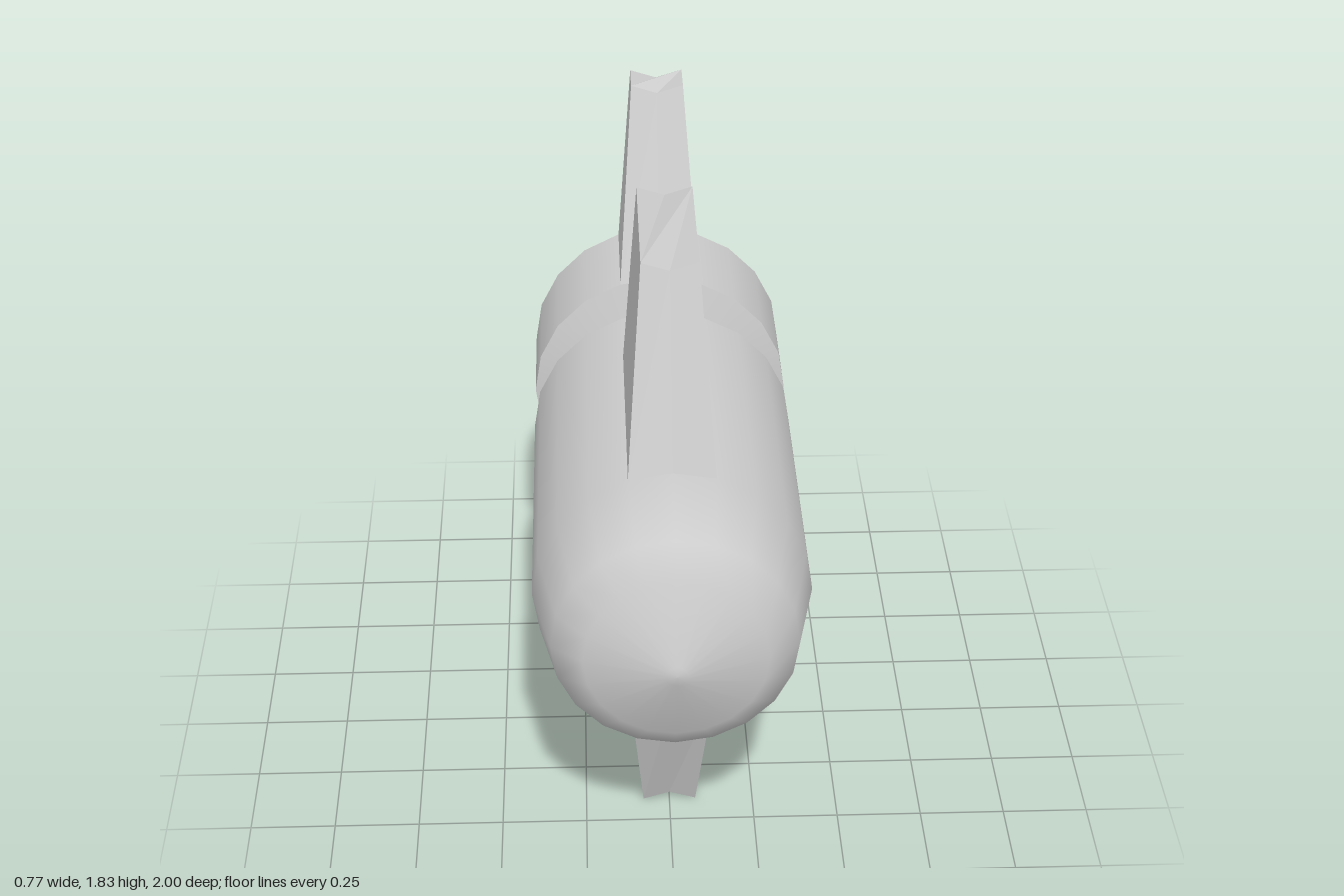
import * as THREE from 'three';

const AXIS = 0.915, R = 0.387, SIDES = 20;
const grey = new THREE.MeshStandardMaterial({ color: 0xcccccc, side: THREE.DoubleSide });

// Smooth turned section along z; points are [radius, z] from back to front
function turned(name, points) {
  const geo = new THREE.LatheGeometry(points.map(([r, z]) => new THREE.Vector2(r, z)), SIDES);
  geo.rotateX(Math.PI / 2);
  const mesh = new THREE.Mesh(geo, grey);
  mesh.name = name;
  return mesh;
}

// Six-point ring, counter-clockwise seen from above
function ring(halfWidth, sideY, midY, front, back) {
  return [
    [-halfWidth, sideY, front], [0, midY, front], [halfWidth, sideY, front],
    [halfWidth, sideY, back], [0, midY, back], [-halfWidth, sideY, back],
  ];
}

// Tapered fin with a shallow notch at both ends of its tip
function fin(name, baseFront, baseBack, tipFront, tipBack) {
  const base = ring(R * Math.sin(Math.PI / 10), R * Math.cos(Math.PI / 10), R, baseFront, baseBack);
  const tip = ring(0.078, 0.915, 0.89, tipFront, tipBack);
  const pos = [];
  for (let i = 0; i < 6; i++) {
    const j = (i + 1) % 6;
    pos.push(...base[i], ...base[j], ...tip[j], ...base[i], ...tip[j], ...tip[i]);
  }
  for (const i of [1, 2, 3, 0, 1, 3, 0, 3, 4, 0, 4, 5]) pos.push(...tip[i]);
  const geo = new THREE.BufferGeometry();
  geo.setAttribute('position', new THREE.Float32BufferAttribute(pos, 3));
  geo.computeVertexNormals();
  const mesh = new THREE.Mesh(geo, grey);
  mesh.name = name;
  return mesh;
}

export function createModel() {
  const model = new THREE.Group();
  model.name = 'finnedCapsule';
  const body = new THREE.Group();
  body.name = 'body';
  body.position.y = AXIS;
  model.add(body);

  // Turned hull, split where its edges are sharp
  body.add(
    turned('tailDome', [[0, -1], [0.03, -0.998], [0.2, -0.97], [0.305, -0.905], [R, -0.81]]),
    turned('tailBarrel', [[R, -0.81], [R, -0.48]]),
    turned('tailShoulder', [[R, -0.48], [0.235, -0.44]]),
    turned('neck', [[0.235, -0.44], [0.235, -0.31]]),
    turned('mainShoulder', [[0.235, -0.31], [R, -0.27]]),
    turned('mainHullAndNose', [[R, -0.27], [R, 0.61], [0.335, 0.855], [0.25, 0.922], [0.03, 0.998], [0, 1]]),
  );

  // Upper and lower pairs of fins
  for (const [side, turn] of [['upper', 0], ['lower', Math.PI]]) {
    const pair = new THREE.Group();
    pair.name = side + 'Fins';
    pair.rotation.z = turn;
    pair.add(
      fin(side + 'MainFin', 0.61, -0.05, 0.405, -0.04),
      fin(side + 'TailFin', -0.48, -0.81, -0.72, -0.835),
    );
    body.add(pair);
  }
  return model;
}
